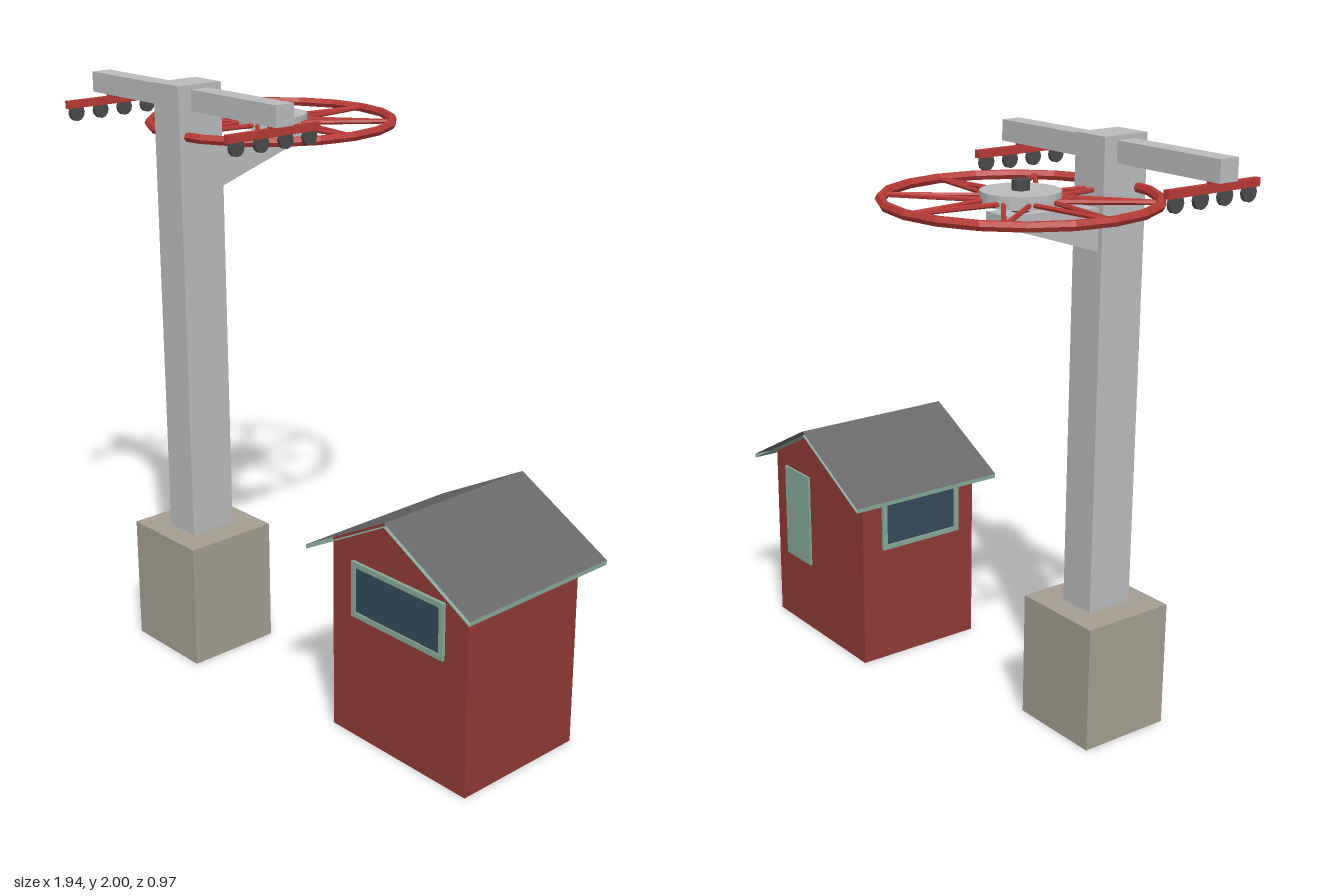
import * as THREE from 'three';

const mat = (color, extra = {}) => new THREE.MeshStandardMaterial({ color, flatShading: true, ...extra });

export function createModel() {
  const root = new THREE.Group();
  const steel = mat(0xb9bbbd), red = mat(0xb83a34), concrete = mat(0xa39e90), rubber = mat(0x4a4a4a);
  const barn = mat(0x8f3a35), trim = mat(0x86a898), glass = mat(0x34495a);
  const roofMat = mat(0x68686a, { side: THREE.DoubleSide });
  const trimThin = mat(0x86a898, { side: THREE.DoubleSide });

  const add = (parent, name, geo, material, x = 0, y = 0, z = 0) => {
    const m = new THREE.Mesh(geo, material);
    m.name = name;
    m.position.set(x, y, z);
    parent.add(m);
    return m;
  };
  // Box given by its limits on each axis
  const box = (parent, name, material, [x0, x1], [y0, y1], [z0, z1]) =>
    add(parent, name, new THREE.BoxGeometry(x1 - x0, y1 - y0, z1 - z0), material,
      (x0 + x1) / 2, (y0 + y1) / 2, (z0 + z1) / 2);
  const extrude = (shape, depth) => new THREE.ExtrudeGeometry(shape, { depth, bevelEnabled: false });
  const polygon = pts => new THREE.Shape(pts.map(p => new THREE.Vector2(...p)));
  const group = (name, parent = root) => {
    const g = new THREE.Group();
    g.name = name;
    parent.add(g);
    return g;
  };

  // ---- Tower ----
  const cx = -0.472;
  const tower = group('tower');
  box(tower, 'concreteBase', concrete, [-0.64, -0.305], [0, 0.437], [0.13, 0.467]);
  box(tower, 'column', steel, [cx - 0.067, cx + 0.067], [0.437, 2], [0.216, 0.388]);
  box(tower, 'crossArm', steel, [-0.97, 0.022], [1.916, 1.985], [0.266, 0.338]);

  // Tapered bracket, drawn in the z-y plane
  const bracket = add(tower, 'wheelBracket', extrude(polygon(
    [[0.217, 1.647], [0.217, 1.782], [0.05, 1.793], [-0.14, 1.798], [-0.14, 1.762]]), 0.1), steel, cx + 0.05);
  bracket.rotation.y = -Math.PI / 2;

  // ---- Cable rollers under both ends of the cross arm ----
  for (const x of [-0.909, -0.035]) {
    const rollers = group('rollerAssembly', tower);
    box(rollers, 'hanger', red, [x - 0.01, x + 0.01], [1.9, 1.918], [0.285, 0.318]);
    box(rollers, 'rollerBeam', red, [x - 0.01, x + 0.01], [1.879, 1.905], [0.119, 0.486]);
    for (let i = 0; i < 4; i++) {
      const r = add(rollers, 'roller', new THREE.CylinderGeometry(0.029, 0.029, 0.012, 12), rubber,
        x, 1.863, 0.157 + i * 0.0975);
      r.rotation.z = Math.PI / 2;
    }
  }

  // ---- Bull wheel ----
  const wheel = group('bullWheel');
  wheel.position.set(cx, 1.834, -0.05);
  add(wheel, 'rim', new THREE.TorusGeometry(0.416, 0.016, 6, 20), red).rotation.x = Math.PI / 2;
  add(wheel, 'hub', new THREE.CylinderGeometry(0.123, 0.123, 0.04, 20), steel, 0, 0.006, 0);
  add(wheel, 'axle', new THREE.CylinderGeometry(0.028, 0.028, 0.1, 12), rubber, 0, 0.007, 0);
  const up = new THREE.Vector3(0, 1, 0);
  for (let i = 0; i < 8; i++) {
    const a = i * Math.PI / 4;
    const tip = new THREE.Vector3(Math.cos(a) * 0.41, 0, Math.sin(a) * 0.41);
    for (const side of [-1, 1]) {
      const b = a + side * 0.36;
      const foot = new THREE.Vector3(Math.cos(b) * 0.11, 0, Math.sin(b) * 0.11);
      const dir = tip.clone().sub(foot);
      const spoke = add(wheel, 'spoke', new THREE.CylinderGeometry(0.008, 0.008, dir.length(), 6), red);
      spoke.position.copy(tip).add(foot).multiplyScalar(0.5);
      spoke.quaternion.setFromUnitVectors(up, dir.normalize());
    }
  }

  // ---- Operator hut ----
  const hut = group('hut');
  hut.position.set(0.609, 0, 0.127);
  add(hut, 'walls', extrude(polygon(
    [[-0.297, 0], [0.297, 0], [0.297, 0.668], [0, 0.826], [-0.297, 0.668]]), 0.487), barn, 0, 0, -0.2435);

  // Thin roof: outer sheet, lining below it and a strip along each eave
  const quad = (...p) => {
    const g = new THREE.BufferGeometry();
    g.setAttribute('position', new THREE.Float32BufferAttribute(p.flat(), 3));
    g.setIndex([0, 1, 2, 0, 2, 3]);
    g.computeVertexNormals();
    return g;
  };
  const zr = 0.306, ridge = 0.83, eave = 0.64, t = 0.015;
  for (const s of [-1, 1]) {
    const e = 0.357 * s, f = zr * s;
    const sheet = d => quad([0, ridge - d, f], [e, eave - d, f], [e, eave - d, -f], [0, ridge - d, -f]);
    add(hut, 'roofSheet', sheet(0), roofMat);
    add(hut, 'roofLining', sheet(t), trimThin);
    add(hut, 'eaveStrip', quad([e, eave, f], [e, eave - t, f], [e, eave - t, -f], [e, eave, -f]), trimThin);
  }

  // Framed windows on the front and on the side facing the tower
  const windowUnit = (w, h) => {
    const g = group('window', hut);
    const rect = (a, b) => [[-a, -b], [a, -b], [a, b], [-a, b]];
    const frame = polygon(rect(w / 2, h / 2));
    frame.holes.push(polygon(rect(w / 2 - 0.018, h / 2 - 0.018)));
    add(g, 'windowFrame', extrude(frame, 0.012), trim);
    add(g, 'windowPane', new THREE.BoxGeometry(w - 0.03, h - 0.03, 0.01), glass, 0, 0, 0.002);
    return g;
  };
  windowUnit(0.403, 0.19).position.set(0, 0.526, 0.2425);
  const sideWindow = windowUnit(0.335, 0.19);
  sideWindow.position.set(-0.296, 0.526, 0.005);
  sideWindow.rotation.y = -Math.PI / 2;

  box(hut, 'door', trim, [0.06, 0.226], [0.265, 0.62], [-0.252, -0.24]);

  return root;
}
